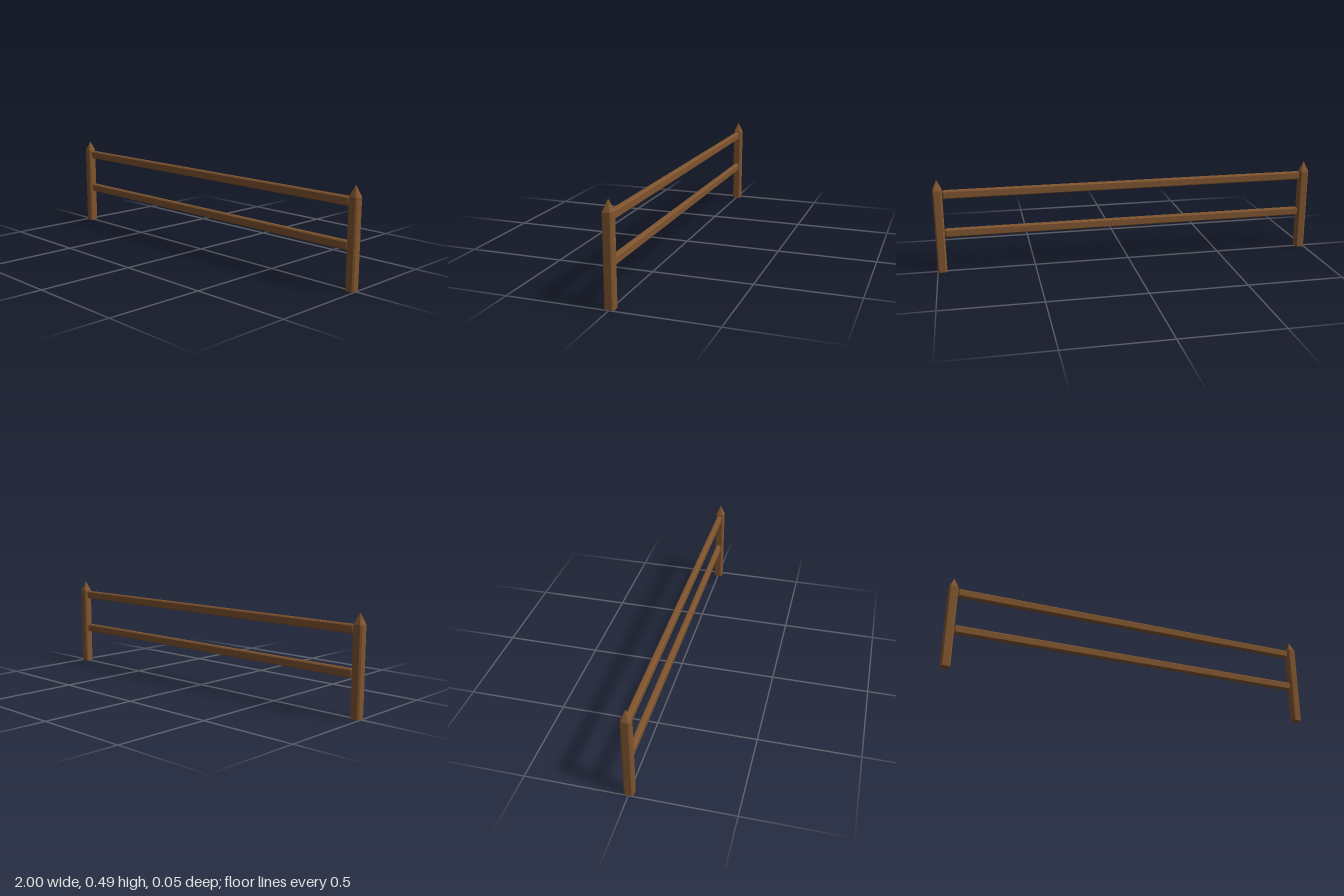
import * as THREE from 'three';
import { ConvexGeometry } from 'three/addons/geometries/ConvexGeometry.js';

// Corners of a rectangle with chamfered corners (half sizes a, b; chamfer c)
function chamferedRect(a, b, c) {
  return [
    [a, b - c], [a - c, b], [c - a, b], [-a, b - c],
    [-a, c - b], [c - a, -b], [a - c, -b], [a, c - b],
  ];
}

export function createModel() {
  const group = new THREE.Group();
  const wood = new THREE.MeshStandardMaterial({ color: 0x80552f });
  wood.name = 'brown wood';

  // Post: chamfered square shaft with a pointed top
  const section = chamferedRect(0.0235, 0.0235, 0.0075);
  const postPoints = [new THREE.Vector3(0, 0.486, 0)];
  for (const y of [0, 0.432]) {
    for (const [x, z] of section) postPoints.push(new THREE.Vector3(x, y, z));
  }
  const postGeometry = new ConvexGeometry(postPoints);

  // Rail: chamfered beam, tapered slightly at both ends
  const railPoints = [];
  for (const [x, inset] of [[0.952, 0.005], [0.945, 0]]) {
    for (const side of [-1, 1]) {
      for (const [y, z] of chamferedRect(0.0215 - inset, 0.0145 - inset, 0.006 - inset * 0.6)) {
        railPoints.push(new THREE.Vector3(side * x, y, z));
      }
    }
  }
  const railGeometry = new ConvexGeometry(railPoints);

  for (const [name, x] of [['leftPost', 0.9765], ['rightPost', -0.9765]]) {
    const post = new THREE.Mesh(postGeometry, wood);
    post.name = name;
    post.position.x = x;
    group.add(post);
  }
  for (const [name, y] of [['upperRail', 0.408], ['lowerRail', 0.206]]) {
    const rail = new THREE.Mesh(railGeometry, wood);
    rail.name = name;
    rail.position.y = y;
    group.add(rail);
  }
  return group;
}
